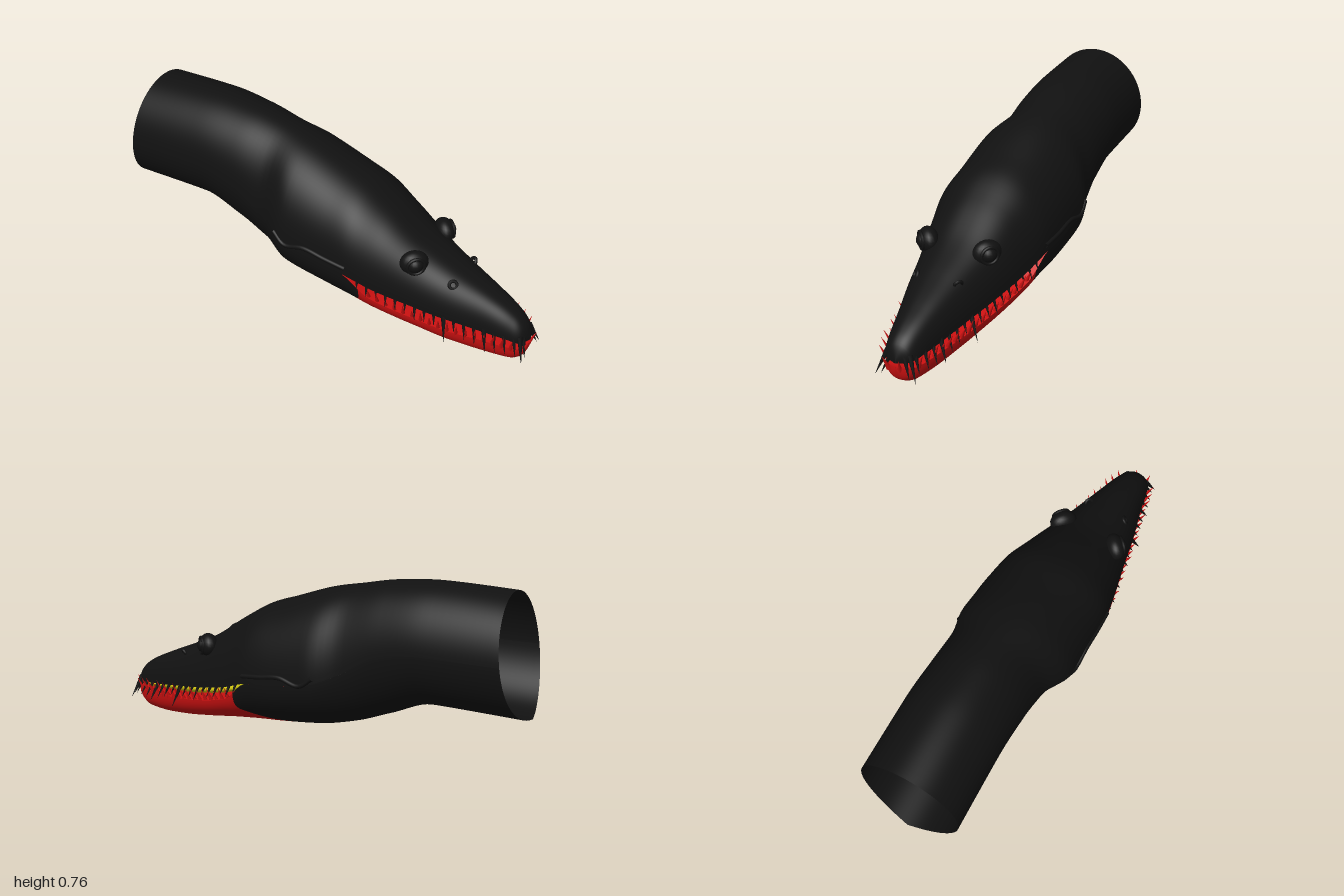
import * as THREE from 'three';

const black = new THREE.MeshStandardMaterial({ color: 0x111111, side: THREE.DoubleSide });
black.name = 'blackSkin';
const red = new THREE.MeshStandardMaterial({ color: 0xcc1111, side: THREE.DoubleSide });
red.name = 'redJaw';
const yellow = new THREE.MeshStandardMaterial({ color: 0xd6cc12, side: THREE.DoubleSide });
yellow.name = 'yellowMouth';

// Cross-sections: x, centre z, half width, top, widest y, bottom,
// upper lip above widest, lower lip below widest, roundness
const ROWS = [
  [-1.0, -0.03, 0.227, 0.752, 0.5, 0.25, 0, 0, 1],
  [-0.6, -0.032, 0.223, 0.765, 0.5, 0.258, 0, 0, 1],
  [-0.4, -0.028, 0.222, 0.75, 0.46, 0.19, 0, 0, 1],
  [-0.25, -0.025, 0.228, 0.722, 0.38, 0.135, 0, 0, 1],
  [-0.1, -0.01, 0.272, 0.69, 0.32, 0.1, 0, 0, 0.98],
  [0.1, 0, 0.266, 0.625, 0.29, 0.078, 0, 0, 0.95],
  [0.2, 0.008, 0.258, 0.592, 0.28, 0.07, 0, 0, 0.92],
  [0.33, 0.016, 0.23, 0.52, 0.215, 0.06, 0.024, 0.03, 0.86],
  [0.5, 0.025, 0.185, 0.412, 0.17, 0.035, 0.03, 0.03, 0.8],
  [0.65, 0.035, 0.147, 0.345, 0.145, 0.013, 0.03, 0.03, 0.8],
  [0.8, 0.04, 0.105, 0.283, 0.13, 0.003, 0.022, 0.025, 0.8],
  [0.9, 0.046, 0.079, 0.235, 0.12, 0.008, 0.02, 0.02, 0.85],
  [0.95, 0.05, 0.058, 0.195, 0.115, 0.035, 0.015, 0.015, 0.9],
  [0.975, 0.05, 0.002, 0.135, 0.115, 0.095, 0.008, 0.008, 1],
];
const CORNER = 0.2, TIP = 0.975;

// Monotone smooth interpolation of the table
function section(x) {
  const n = ROWS.length;
  x = THREE.MathUtils.clamp(x, ROWS[0][0], TIP);
  let i = 0;
  while (i < n - 2 && x > ROWS[i + 1][0]) i++;
  const h = ROWS[i + 1][0] - ROWS[i][0], t = (x - ROWS[i][0]) / h;
  const value = (c) => {
    const slope = (k) => (ROWS[k + 1][c] - ROWS[k][c]) / (ROWS[k + 1][0] - ROWS[k][0]);
    const tangent = (k) => {
      if (k === 0) return slope(0);
      if (k === n - 1) return slope(n - 2) * 1.6;
      const a = slope(k - 1), b = slope(k);
      return a * b <= 0 ? 0 : (2 * a * b) / (a + b);
    };
    const p = ROWS[i][c], q = ROWS[i + 1][c], s = t * t, r = s * t;
    return p * (2 * r - 3 * s + 1) + q * (3 * s - 2 * r)
      + h * (tangent(i) * (r - 2 * s + t) + tangent(i + 1) * (r - s));
  };
  const [zc, w, top, mid, bot, up, low, e] = [1, 2, 3, 4, 5, 6, 7, 8].map(value);
  return { zc, w: Math.max(w, 0.002), top, mid, bot, up: Math.max(up, 0), low: Math.max(low, 0), e };
}

// Point on the skin; v runs across the upper or the lower half between the lips
function skin(x, v, upper) {
  const s = section(x);
  const height = upper ? s.top - s.mid : s.mid - s.bot;
  const lip = Math.min((upper ? s.up : s.low) / height, 0.95);
  const a = Math.asin(Math.pow(lip, 1 / s.e));
  const th = a + (Math.PI - 2 * a) * v;
  const c = Math.cos(th) * (upper ? 1 : -1);
  const y = height * Math.pow(Math.max(Math.sin(th), 0), s.e);
  const z = s.zc + s.w * Math.sign(c) * Math.pow(Math.abs(c), s.e);
  return new THREE.Vector3(x, s.mid + (upper ? y : -y), z);
}

// Surface from a rule over u and v
function grid(nu, nv, fn) {
  const pos = [], idx = [];
  for (let i = 0; i <= nu; i++) for (let j = 0; j <= nv; j++) pos.push(...fn(i / nu, j / nv).toArray());
  for (let i = 0; i < nu; i++) for (let j = 0; j < nv; j++) {
    const a = i * (nv + 1) + j, b = a + nv + 1;
    idx.push(a, b, a + 1, b, b + 1, a + 1);
  }
  const g = new THREE.BufferGeometry();
  g.setAttribute('position', new THREE.Float32BufferAttribute(pos, 3));
  g.setIndex(idx);
  g.computeVertexNormals();
  return g;
}

export function createModel() {
  const model = new THREE.Group();
  model.name = 'reptileHead';
  const add = (name, geo, mat, parent = model) => {
    const m = new THREE.Mesh(geo, mat);
    m.name = name;
    parent.add(m);
    return m;
  };
  const lerp = THREE.MathUtils.lerp;
  const ease = (u) => 1 - Math.pow(1 - u, 1.6);

  // Slanted open neck edge, and the colour border under the throat
  const neckEdge = (v, sign) => -1 + 0.09 * Math.sqrt((1 + sign * Math.sin(Math.PI * v)) / 2);
  const border = (v) => 0.28 - 0.36 * Math.pow(Math.sin(Math.PI * v), 4);

  add('neckAndSkull', grid(90, 44, (u, v) => skin(lerp(neckEdge(v, 1), TIP, ease(u)), v, true)), black);
  add('throat', grid(50, 44, (u, v) => skin(lerp(neckEdge(v, -1), border(v), u), v, false)), black);
  add('lowerJaw', grid(60, 44, (u, v) => skin(lerp(border(v), TIP, ease(u)), v, false)), red);

  // Flat faces inside the mouth
  const across = (upper) => (u, v) => {
    const x = lerp(CORNER, TIP, ease(u));
    return skin(x, upper ? 1 : 0, upper).lerp(skin(x, upper ? 0 : 1, upper), upper ? v : 1 - v);
  };
  add('palate', grid(40, 4, across(true)), black);
  add('mouthFloor', grid(40, 4, across(false)), red);
  add('tongue', grid(40, 20, (u, v) => {
    const x = lerp(0.17, 0.93, u), s = section(x), a = v * Math.PI * 2;
    const k = lerp(0.95, 0.4, Math.sqrt(u));
    return new THREE.Vector3(x, s.mid + Math.sin(a) * (s.up + 0.002), s.zc + Math.cos(a) * s.w * k);
  }), yellow);

  // Teeth: cones from a root along a direction
  const tooth = (name, mat, parent, root, dir, len, r) => {
    const geo = new THREE.ConeGeometry(r, len, 7);
    geo.translate(0, len / 2 - 0.012, 0);
    const m = add(name, geo, mat, parent);
    m.position.copy(root);
    m.quaternion.setFromUnitVectors(new THREE.Vector3(0, 1, 0), dir.normalize());
  };
  const upperTeeth = new THREE.Group(), lowerTeeth = new THREE.Group();
  upperTeeth.name = 'upperTeeth';
  lowerTeeth.name = 'lowerTeeth';
  model.add(upperTeeth, lowerTeeth);
  for (const side of [1, -1]) {
    const n = 17;
    for (let i = 0; i < n; i++) {
      const t = i / (n - 1);
      const xu = lerp(0.27, 0.93, t), xl = lerp(0.32, 0.92, t);
      const big = i % 4 === 1 && i > 6 ? 0.035 : 0;
      const wave = 0.012 * Math.sin(i * 2.3);
      const inset = (p, x) => { p.z = lerp(p.z, section(x).zc, 0.05); return p; };
      tooth('upperTooth', black, upperTeeth, inset(skin(xu, side > 0 ? 0 : 1, true), xu),
        new THREE.Vector3(0.15 + 0.2 * t, -1, side * 0.4), 0.055 + 0.03 * t + big + wave, 0.009 + big * 0.08);
      tooth('lowerTooth', red, lowerTeeth, inset(skin(xl, side > 0 ? 1 : 0, false), xl),
        new THREE.Vector3(0.1 + 0.15 * t, 1, side * 0.42), 0.07 + 0.02 * t + wave, 0.010);
    }
    // Front fangs
    for (const [dz, len] of [[0.03, 0.1], [0.052, 0.115]]) {
      tooth('frontFang', black, upperTeeth, new THREE.Vector3(0.962 - dz * 0.25, 0.145, 0.05 + side * dz),
        new THREE.Vector3(0.35, -1, side * 0.4), len, 0.012);
    }
    tooth('frontLowerTooth', red, lowerTeeth, new THREE.Vector3(0.965, 0.095, 0.063 + side * 0.026),
      new THREE.Vector3(0.45, 1, side * 0.15), 0.075, 0.011);

    // Brow, eyeball and eyelid
    const eye = new THREE.Group();
    eye.name = side > 0 ? 'leftEye' : 'rightEye';
    eye.position.set(0.485, 0.385, 0.027 + side * 0.13);
    eye.rotation.y = side > 0 ? 0.75 : Math.PI - 0.75;
    model.add(eye);
    add('brow', new THREE.SphereGeometry(0.055, 20, 14), black, eye).scale.set(1.1, 0.95, 0.75);
    add('eyeball', new THREE.SphereGeometry(0.034, 18, 12), black, eye).position.z = 0.018;
    const lid = add('eyelid', new THREE.TorusGeometry(0.036, 0.007, 8, 24), black, eye);
    lid.position.z = 0.032;

    // Nostril rim
    const nostril = add('nostril', new THREE.TorusGeometry(0.016, 0.007, 8, 16), black);
    nostril.position.copy(skin(0.65, side > 0 ? 0.3 : 0.7, true));
    nostril.rotation.set(-0.6, side > 0 ? 0.6 : Math.PI - 0.6, 0);

    // Fold of skin behind the mouth corner
    const fold = [[-0.14, 0.02], [-0.08, 0.0], [0.02, 0.03], [0.12, 0.03], [0.22, 0.03]]
      .map(([x, v]) => skin(x, side > 0 ? v : 1 - v, true));
    add('cheekFold', new THREE.TubeGeometry(new THREE.CatmullRomCurve3(fold), 24, 0.01, 8), black);
  }
  return model;
}
